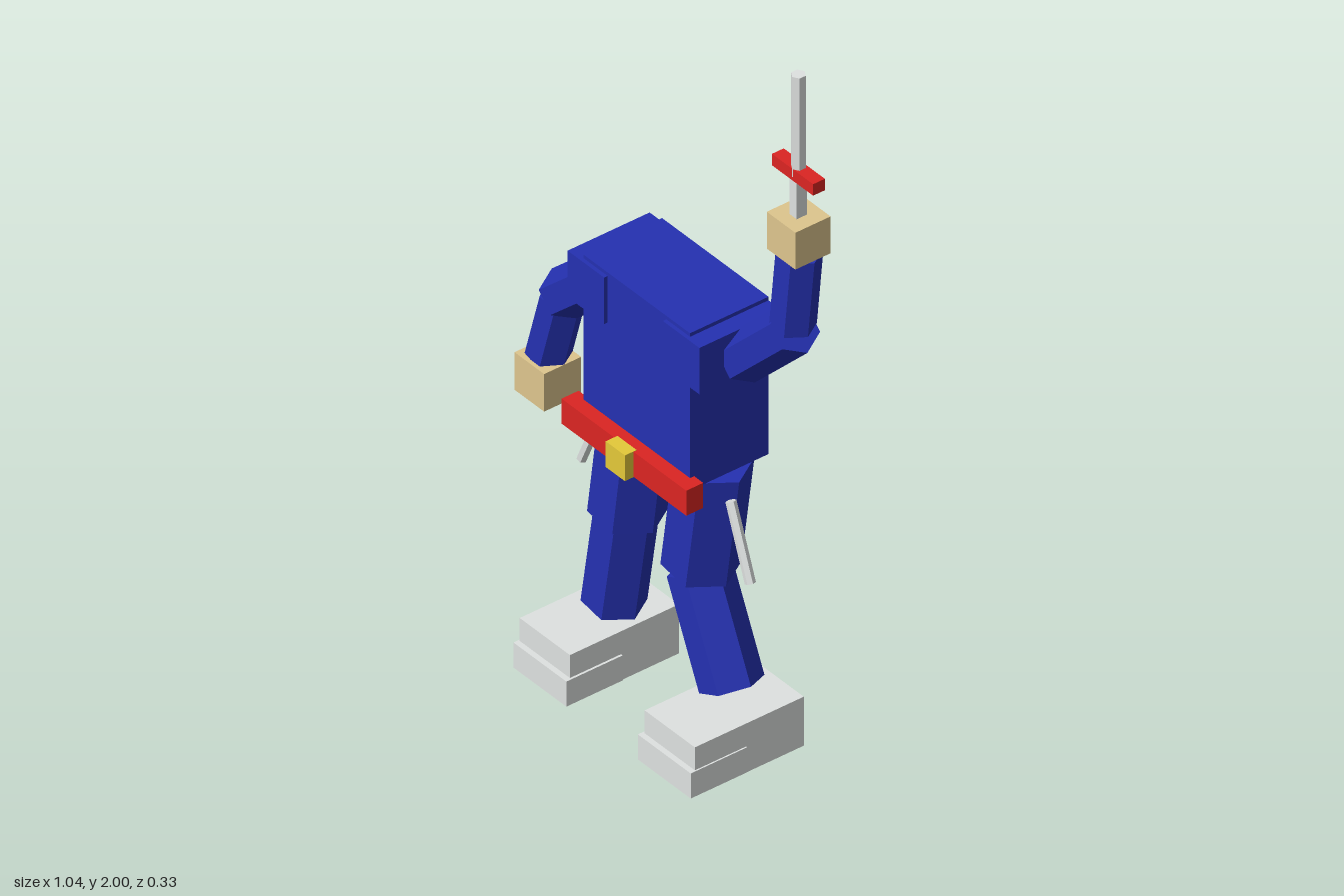
import * as THREE from 'three';

const mat = (name, color) => {
  const m = new THREE.MeshStandardMaterial({ color });
  m.name = name;
  return m;
};

export function createModel() {
  const root = new THREE.Group();
  root.name = 'figure';
  const blue = mat('blue cloth', 0x2531b2);
  const red = mat('red trim', 0xdc2522);
  const tan = mat('tan skin', 0xdec68e);
  const gold = mat('gold buckle', 0xe4c939);
  const grey = mat('light grey', 0xdfe2e1);

  // Box given by its limits on each axis
  const box = (name, m, [x0, x1], [y0, y1], [z0, z1]) => {
    const mesh = new THREE.Mesh(new THREE.BoxGeometry(x1 - x0, y1 - y0, z1 - z0), m);
    mesh.position.set((x0 + x1) / 2, (y0 + y1) / 2, (z0 + z1) / 2);
    mesh.name = name;
    root.add(mesh);
  };

  // Flat-faced six-sided rod between two points; turn spins its facets
  const UP = new THREE.Vector3(0, 1, 0);
  const rod = (name, m, a, b, r, turn = Math.PI / 6) => {
    const p = new THREE.Vector3(...a), q = new THREE.Vector3(...b);
    const geo = new THREE.CylinderGeometry(r, r, p.distanceTo(q), 6).toNonIndexed();
    geo.computeVertexNormals();
    geo.rotateY(turn);
    const mesh = new THREE.Mesh(geo, m);
    mesh.position.addVectors(p, q).multiplyScalar(0.5);
    mesh.quaternion.setFromUnitVectors(UP, q.sub(p).normalize());
    mesh.name = name;
    root.add(mesh);
  };

  // Body and belt
  box('torso', blue, [-0.195, 0.193], [0.745, 1.185], [-0.165, 0.062]);
  box('belt', red, [-0.228, 0.226], [0.71, 0.78], [0.05, 0.099]);
  box('buckle', gold, [-0.036, 0.034], [0.709, 0.781], [0.09, 0.124]);

  // Paired parts
  for (const [side, s] of [['left', 1], ['right', -1]]) {
    const span = (a, b) => (s > 0 ? [a, b] : [-b, -a]);
    box(side + 'Shoulder', blue, span(0.107, 0.24), [1.045, 1.175], [-0.165, 0.072]);
    box(side + 'Shoe', grey, span(0.136, 0.319), [0, 0.137], [-0.167, 0.148]);
    box(side + 'ToeCap', grey, span(0.13, 0.323), [0.003, 0.073], [0, 0.163]);
    rod(side + 'HipRod', grey, [s * 0.23, 0.697, -0.027], [s * 0.307, 0.513, -0.022], 0.013);
  }

  // Arms
  const Z = -0.053;
  rod('leftUpperArm', blue, [0.24, 1.092, Z], [0.431, 1.283, Z], 0.063);
  rod('leftForearm', blue, [0.423, 1.29, Z], [0.447, 1.51, Z], 0.055);
  rod('rightUpperArm', blue, [-0.215, 1.08, Z], [-0.413, 0.9, Z], 0.063);
  rod('rightForearm', blue, [-0.413, 0.892, Z], [-0.468, 0.702, Z], 0.055);
  box('leftHand', tan, [0.392, 0.496], [1.506, 1.609], [-0.104, -0.002]);
  box('rightHand', tan, [-0.518, -0.41], [0.598, 0.703], [-0.102, 0.005]);

  // Legs
  rod('leftThigh', blue, [0.138, 0.752, -0.051], [0.09, 0.434, -0.051], 0.093);
  rod('leftShin', blue, [0.086, 0.42, -0.05], [0.204, 0.16, -0.05], 0.077);
  rod('rightThigh', blue, [-0.131, 0.752, -0.051], [-0.177, 0.431, -0.051], 0.093);
  rod('rightShin', blue, [-0.18, 0.425, -0.05], [-0.225, 0.153, -0.05], 0.077);

  // Raised sword
  box('swordGrip', grey, [0.43, 0.457], [1.56, 1.73], [-0.067, -0.037]);
  rod('swordBlade', grey, [0.443, 1.72, Z], [0.443, 2, Z], 0.018, 0);
  box('swordGuard', red, [0.368, 0.518], [1.71, 1.742], [-0.07, -0.036]);

  return root;
}
